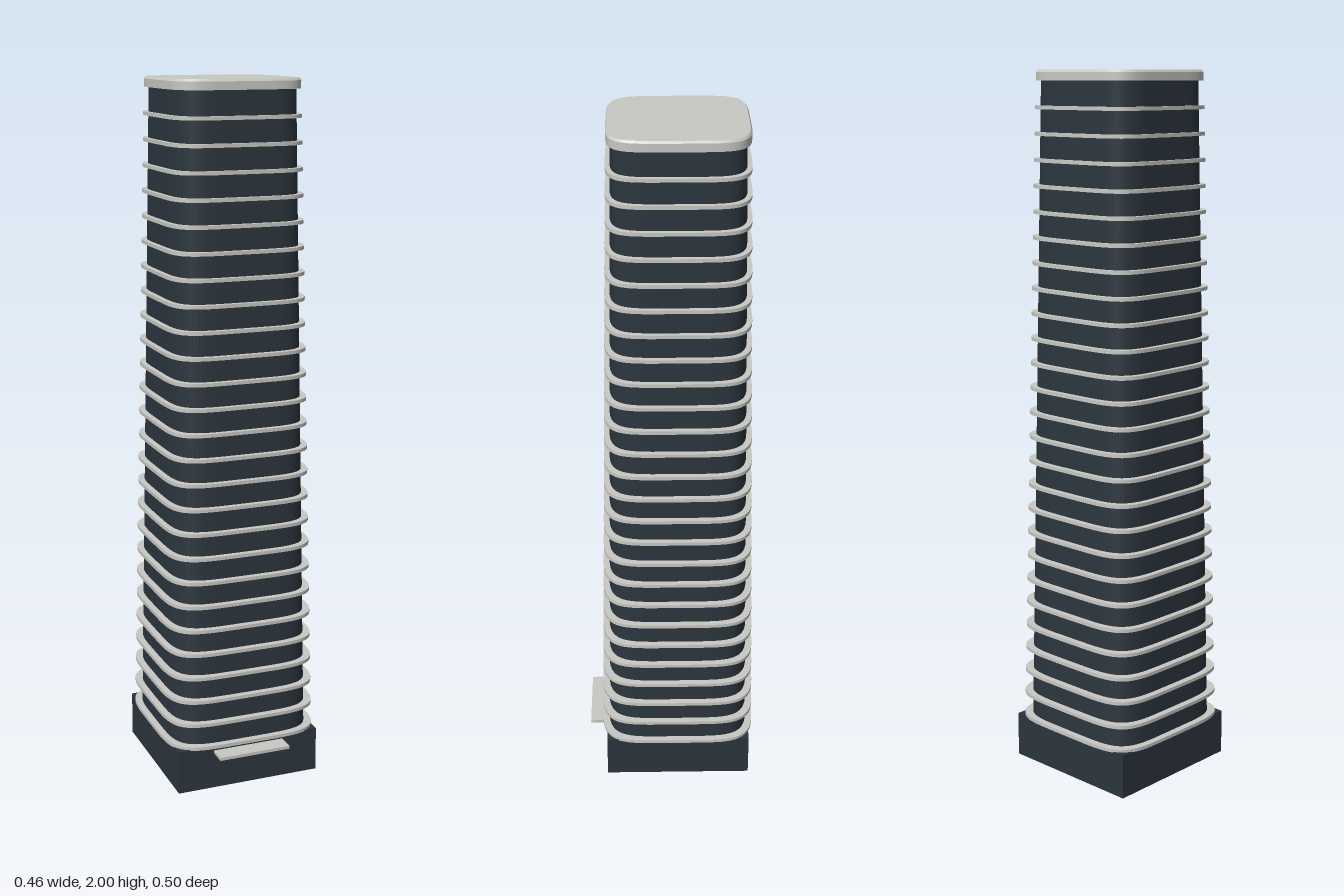
import * as THREE from 'three';

const SEGMENTS = 72;
const POWER = 5; // squareness of the rounded-square plan

// Rounded-square prism whose half width goes from r0 (bottom) to r1 (top)
function roundedPrism(r0, r1, y0, y1) {
  const geo = new THREE.CylinderGeometry(1, 1, 1, SEGMENTS);
  const p = geo.attributes.position;
  const curve = (v) => (Math.abs(v) < 1e-6 ? 0 : Math.sign(v) * Math.abs(v) ** (2 / POWER));
  for (let i = 0; i < p.count; i++) {
    const t = p.getY(i) + 0.5;
    const r = r0 + (r1 - r0) * t;
    p.setXYZ(i, curve(p.getX(i)) * r, y0 + (y1 - y0) * t, curve(p.getZ(i)) * r);
  }
  geo.computeVertexNormals();
  return geo;
}

export function createModel() {
  const glass = new THREE.MeshStandardMaterial({ color: 0x2c363e });
  glass.name = 'dark glass';
  const concrete = new THREE.MeshStandardMaterial({ color: 0xc8c8c4 });
  concrete.name = 'pale concrete';

  const model = new THREE.Group();
  model.name = 'tower';
  const add = (name, geo, mat, parent) => {
    const mesh = new THREE.Mesh(geo, mat);
    mesh.name = name;
    parent.add(mesh);
    return mesh;
  };

  // Everything but the canopy is centred slightly behind the origin
  const building = new THREE.Group();
  building.name = 'building';
  building.position.z = -0.02;
  model.add(building);

  // Square podium and tapered shaft
  add('podium', new THREE.BoxGeometry(0.43, 0.13, 0.43), glass, building).position.y = 0.065;
  add('shaft', roundedPrism(0.211, 0.174, 0.12, 1.975), glass, building);

  // Thin projecting slab at each floor
  const floors = 26;
  for (let i = 0; i < floors; i++) {
    const y = 0.133 + i * 0.0707;
    const r = 0.23 - (0.042 * i) / (floors - 1);
    add('floorSlab' + (i + 1), roundedPrism(r, r, y - 0.005, y + 0.005), concrete, building);
  }

  // Roof cap with a small bevelled rim
  add('roofCap', roundedPrism(0.185, 0.185, 1.972, 1.994), concrete, building);
  add('roofRim', roundedPrism(0.185, 0.181, 1.994, 2), concrete, building);

  // Entrance canopy on the front
  add('canopy', new THREE.BoxGeometry(0.214, 0.009, 0.077), concrete, model).position.set(0, 0.112, 0.2085);

  return model;
}
